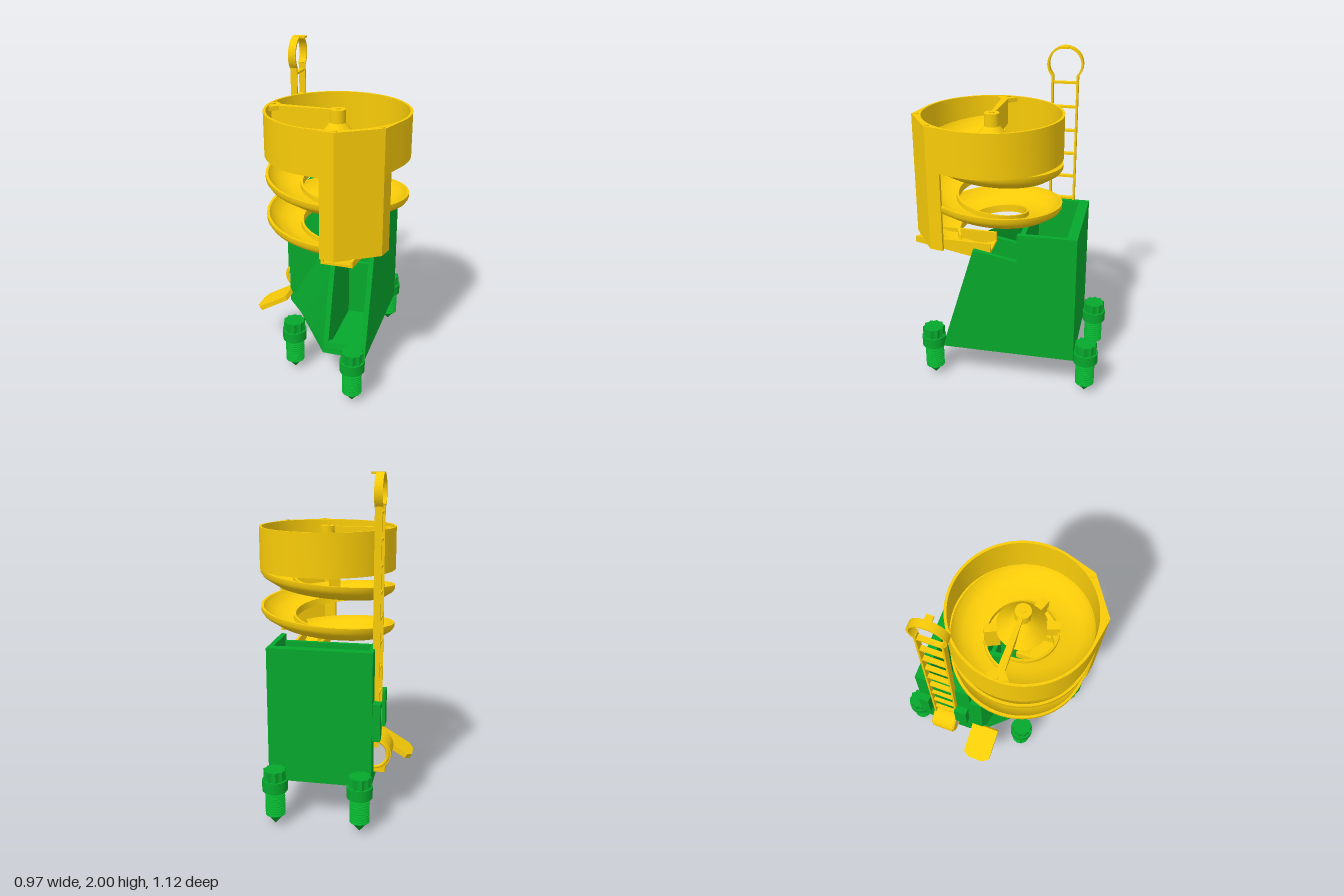
import * as THREE from 'three';
import { toCreasedNormals } from 'three/addons/utils/BufferGeometryUtils.js';

const CX = 0.07, CZ = 0.12; // axis of the bowl and the spiral
const yellow = new THREE.MeshStandardMaterial({ color: 0xf8cb08 });
const yellowThin = new THREE.MeshStandardMaterial({ color: 0xf8cb08, side: THREE.DoubleSide });
const green = new THREE.MeshStandardMaterial({ color: 0x06a82c });
const greenThin = new THREE.MeshStandardMaterial({ color: 0x06a82c, side: THREE.DoubleSide });
const grey = new THREE.MeshStandardMaterial({ color: 0xcccccc });

function add(parent, name, geometry, material) {
  const mesh = new THREE.Mesh(geometry, material);
  mesh.name = name;
  parent.add(mesh);
  return mesh;
}

function box(x0, x1, y0, y1, z0, z1) {
  return new THREE.BoxGeometry(x1 - x0, y1 - y0, z1 - z0)
    .translate((x0 + x1) / 2, (y0 + y1) / 2, (z0 + z1) / 2);
}

const shapeOf = (pts) => new THREE.Shape(pts.map(([a, b]) => new THREE.Vector2(a, b)));
const extrude = (shape, depth) =>
  new THREE.ExtrudeGeometry(shape, { depth, bevelEnabled: false, curveSegments: 48 });

// Outline of [x, z] points raised from y0 to y1
function plan(pts, y0, y1, hole) {
  const shape = shapeOf(pts.map(([x, z]) => [x, -z]));
  if (hole) shape.holes.push(new THREE.Path().absarc(CX, -CZ, hole, 0, Math.PI * 2, false));
  return extrude(shape, y1 - y0).rotateX(-Math.PI / 2).translate(0, y0, 0);
}

// Outline in z and y, given thickness from x0 to x1
const side = (shape, x0, x1) => extrude(shape, x1 - x0).rotateY(-Math.PI / 2).translate(x1, 0, 0);

function buildHousing() {
  const g = new THREE.Group();
  g.name = 'housing';
  const profile = [[0.385, 0.24], [0.37, 0.31], [0.185, 0.92], [-0.075, 0.87],
    [-0.075, 1.04], [-0.42, 1.04], [-0.42, 0.24]];
  add(g, 'rightWall', side(shapeOf(profile), 0.29, 0.32), green);
  add(g, 'dividerWall', side(shapeOf([...profile.slice(0, 4), [-0.075, 0.24]]), 0.06, 0.09), green);
  add(g, 'leftWall', side(shapeOf([[-0.1, 0.24], [0, 0.33], [0, 0.885], ...profile.slice(3)]), -0.285, -0.255), green);
  add(g, 'backWall', box(-0.255, 0.29, 0.24, 1.04, -0.42, -0.36), green);
  add(g, 'floor', plan([[0.32, 0.38], [0.06, 0.38], [-0.285, -0.1], [-0.285, -0.42], [0.32, -0.42]],
    0.24, 0.27), green);
  add(g, 'frontLip', side(shapeOf([[0.385, 0.24], [0.37, 0.31], [0.34, 0.31], [0.34, 0.24]]), 0.09, 0.29), green);

  // Inner wall with the square outlet window, and the sloping deck behind it
  const wall = shapeOf([[-0.255, 0.27], [0.29, 0.27], [0.29, 1.0], [-0.255, 1.0]]);
  wall.holes.push(new THREE.Path([[0.09, 0.63], [0.09, 0.83], [0.29, 0.83], [0.29, 0.63]]
    .map(([x, y]) => new THREE.Vector2(x, y))));
  add(g, 'windowWall', extrude(wall, 0.03).translate(0, 0, -0.105), green);
  add(g, 'deck', side(shapeOf([[-0.105, 0.84], [-0.36, 0.6], [-0.36, 0.63], [-0.105, 0.87]]), 0.09, 0.29), green);

  // Slanted panel across the front corner, cut back at the foot
  const panel = new THREE.BufferGeometry();
  panel.setAttribute('position', new THREE.Float32BufferAttribute(
    [-0.285, 0.24, -0.1, 0.06, 0.24, 0.385, -0.285, 0.33, 0, 0.06, 0.31, 0.37, -0.285, 0.885, 0, 0.06, 0.92, 0.185], 3));
  panel.setIndex([0, 1, 3, 0, 3, 2, 2, 3, 5, 2, 5, 4]);
  add(g, 'cornerPanel', toCreasedNormals(panel, 0.3), greenThin);

  // Brackets on the left side
  for (const [z0, z1] of [[-0.41, -0.345], [-0.17, -0.09]])
    add(g, 'sideBracket', box(-0.33, -0.285, 0.52, 0.74, z0, z1), green);
  return g;
}

function buildFoot(x, z) {
  const g = new THREE.Group();
  g.name = 'screwFoot';
  const pts = [[0.001, 0], [0.045, 0.055]];
  for (let i = 0; i < 10; i++) {
    const y = 0.058 + i * 0.0155;
    pts.push([0.058, y + 0.005], [0.058, y + 0.008], [0.045, y + 0.014]);
  }
  pts.push([0.05, 0.215], [0.074, 0.215], [0.074, 0.28], [0.001, 0.28]);
  const lathe = new THREE.LatheGeometry(pts.map(([r, y]) => new THREE.Vector2(r, y)), 28);
  add(g, 'threadedFoot', toCreasedNormals(lathe, 0.5), green);
  // Scalloped grip on top
  const grip = [];
  for (let i = 0; i < 80; i++) {
    const a = (i / 80) * Math.PI * 2, r = 0.068 - 0.01 * Math.abs(Math.sin(5 * a));
    grip.push([r * Math.cos(a), r * Math.sin(a)]);
  }
  add(g, 'grip', plan(grip, 0.28, 0.34), green);
  g.position.set(x, 0, z);
  return g;
}

// Height of the flight after t turns, starting on the left and passing the front
const flightY = (t) => 1.54 - 0.24 * t;

function buildFlight() {
  const section = [[0.413, 0.025], [0.398, 0.025], [0.385, 0], [0.335, -0.04], [0.27, -0.06], [0.215, -0.062],
    [0.213, -0.035], [0.2, -0.035], [0.2, -0.08], [0.335, -0.062], [0.4, -0.02], [0.413, 0]];
  const n = section.length, steps = 150, turns = 2.34, pos = [], idx = [];
  for (let i = 0; i <= steps; i++) {
    const t = (turns * i) / steps, a = Math.PI - t * Math.PI * 2;
    for (const [r, dy] of section)
      pos.push(CX + r * Math.cos(a), flightY(t) + dy, CZ + r * Math.sin(a));
    if (i === steps) break;
    for (let j = 0; j < n; j++) {
      const p = i * n + j, q = i * n + (j + 1) % n;
      idx.push(p, q, p + n, q, q + n, p + n);
    }
  }
  const geo = new THREE.BufferGeometry();
  geo.setAttribute('position', new THREE.Float32BufferAttribute(pos, 3));
  geo.setIndex(idx);
  return toCreasedNormals(geo, 0.6);
}

function buildSpiralTower() {
  const g = new THREE.Group();
  g.name = 'spiralTower';
  add(g, 'spiralFlight', buildFlight(), yellowThin);

  // Bowl: round wall drawn out to two corners at the column
  const outline = [[0.18, 0.56]];
  for (let i = 0; i <= 64; i++) {
    const a = THREE.MathUtils.degToRad(99 + (279 * i) / 64);
    outline.push([CX + 0.415 * Math.cos(a), CZ + 0.415 * Math.sin(a)]);
  }
  outline.push([0.41, 0.41]);
  add(g, 'bowl', toCreasedNormals(plan(outline, 1.42, 1.675, 0.4), 0.4), yellow);
  for (const [x, z] of [[0.175, 0.535], [0.39, 0.4], [-0.32, 0.11]])
    add(g, 'rimBolt', new THREE.CylinderGeometry(0.014, 0.014, 0.02, 20).translate(x, 1.669, z), yellow);

  // Drop column on the front corner
  add(g, 'dropColumn', plan([[0.095, 0.545], [0.18, 0.56], [0.41, 0.41], [0.43, 0.33],
    [0.41, 0.328], [0.392, 0.398], [0.176, 0.538], [0.1, 0.525]], 0.955, 1.42), yellow);

  // Trough leading from the column back into the housing
  const trough = new THREE.Group();
  trough.name = 'outletTrough';
  const bed = [[0.54, 0.925], [0.17, 0.855], [0.09, 0.885], [0.09, 0.9], [0.17, 0.87], [0.54, 0.94]];
  const cheek = [[0.54, 0.925], [0.17, 0.855], [0.09, 0.885], [0.09, 0.95], [0.54, 0.96]];
  add(trough, 'troughFloor', side(shapeOf(bed), 0.1, 0.28), yellow);
  add(trough, 'troughSide', side(shapeOf(cheek), 0.1, 0.115), yellow);
  add(trough, 'troughSide', side(shapeOf(cheek), 0.265, 0.28), yellow);
  g.add(trough);

  // Feed cone with its hub and centre bolt
  const cone = [[0.135, 1.475], [0.145, 1.475], [0.045, 1.6], [0.045, 1.675], [0.001, 1.675]];
  add(g, 'feedCone', toCreasedNormals(new THREE.LatheGeometry(
    cone.map(([r, y]) => new THREE.Vector2(r, y)), 48).translate(CX, 0, CZ), 0.5), yellowThin);
  add(g, 'hubBolt', new THREE.CylinderGeometry(0.015, 0.015, 0.01, 6).translate(CX, 1.675, CZ), yellow);

  // Arm from hub to rim, and the guide panel under it
  add(g, 'hubArm', plan([[0.04, 0.108], [-0.27, 0.1], [-0.32, 0.05], [-0.335, 0.11],
    [-0.32, 0.18], [-0.27, 0.142], [0.04, 0.132]], 1.645, 1.672), yellow);
  add(g, 'guidePanel', box(-0.325, 0.03, 1.5, 1.645, 0.113, 0.127), yellow);

  // Braces between cone and flight
  for (const deg of [-115, 20, 70]) {
    const low = flightY((180 - deg) / 360) - 0.07;
    const brace = add(g, 'coneBrace', box(0.12, 0.21, low, 1.485, -0.025, 0.025), yellow);
    brace.position.set(CX, 0, CZ);
    brace.rotation.y = -THREE.MathUtils.degToRad(deg);
  }
  return g;
}

function buildLadder() {
  const g = new THREE.Group();
  g.name = 'ladder';
  for (const z of [-0.32, -0.17])
    add(g, 'rail', box(-0.312, -0.272, 0.45, 1.83, z - 0.006, z + 0.006), yellow);
  for (let i = 0; i < 9; i++)
    add(g, 'rung', box(-0.307, -0.277, 0.602 + i * 0.147, 0.614 + i * 0.147, -0.32, -0.17), yellow);
  // Round loop at the top
  const a0 = -Math.PI / 4, a1 = Math.PI * 1.25;
  const loop = new THREE.Shape();
  loop.absarc(-0.245, 1.893, 0.107, a0, a1, false);
  loop.absarc(-0.245, 1.893, 0.095, a1, a0, true);
  add(g, 'loop', toCreasedNormals(side(loop, -0.316, -0.27), 0.5), yellow);
  add(g, 'loopHook', box(-0.316, -0.24, 1.988, 2, -0.265, -0.225), yellow);
  return g;
}

function buildBlower() {
  const g = new THREE.Group();
  g.name = 'blower';
  const drum = (r, z0, z1) => new THREE.CylinderGeometry(r, r, z1 - z0, 40)
    .rotateX(Math.PI / 2).translate(-0.285, 0.41, (z0 + z1) / 2);
  add(g, 'drum', drum(0.1, -0.32, -0.18), yellow);
  add(g, 'grille', drum(0.072, -0.326, -0.174), grey);
  for (const z of [-0.32, -0.18])
    add(g, 'drumRim', new THREE.TorusGeometry(0.083, 0.011, 10, 40).translate(-0.285, 0.41, z), yellow);
  add(g, 'drumBase', box(-0.35, -0.25, 0.29, 0.4, -0.31, -0.19), yellow);
  add(g, 'drumOutlet', box(-0.25, -0.16, 0.36, 0.5, -0.32, -0.2), yellow);

  // Sloping tray beside the housing, with cut corners
  const tray = add(g, 'tray', plan([[-0.11, -0.05], [-0.08, -0.09], [0.13, -0.09], [0.13, 0.09],
    [-0.08, 0.09], [-0.11, 0.05]], -0.015, 0.015), yellow);
  tray.position.set(-0.385, 0.335, 0.02);
  tray.rotation.z = 0.54;
  return g;
}

export function createModel() {
  const model = new THREE.Group();
  model.name = 'spiralSeparator';
  model.add(buildHousing(), buildSpiralTower(), buildLadder(), buildBlower());
  for (const [x, z] of [[-0.23, -0.49], [0.265, -0.49], [0.265, 0.465], [-0.17, 0.245]])
    model.add(buildFoot(x, z));
  return model;
}
